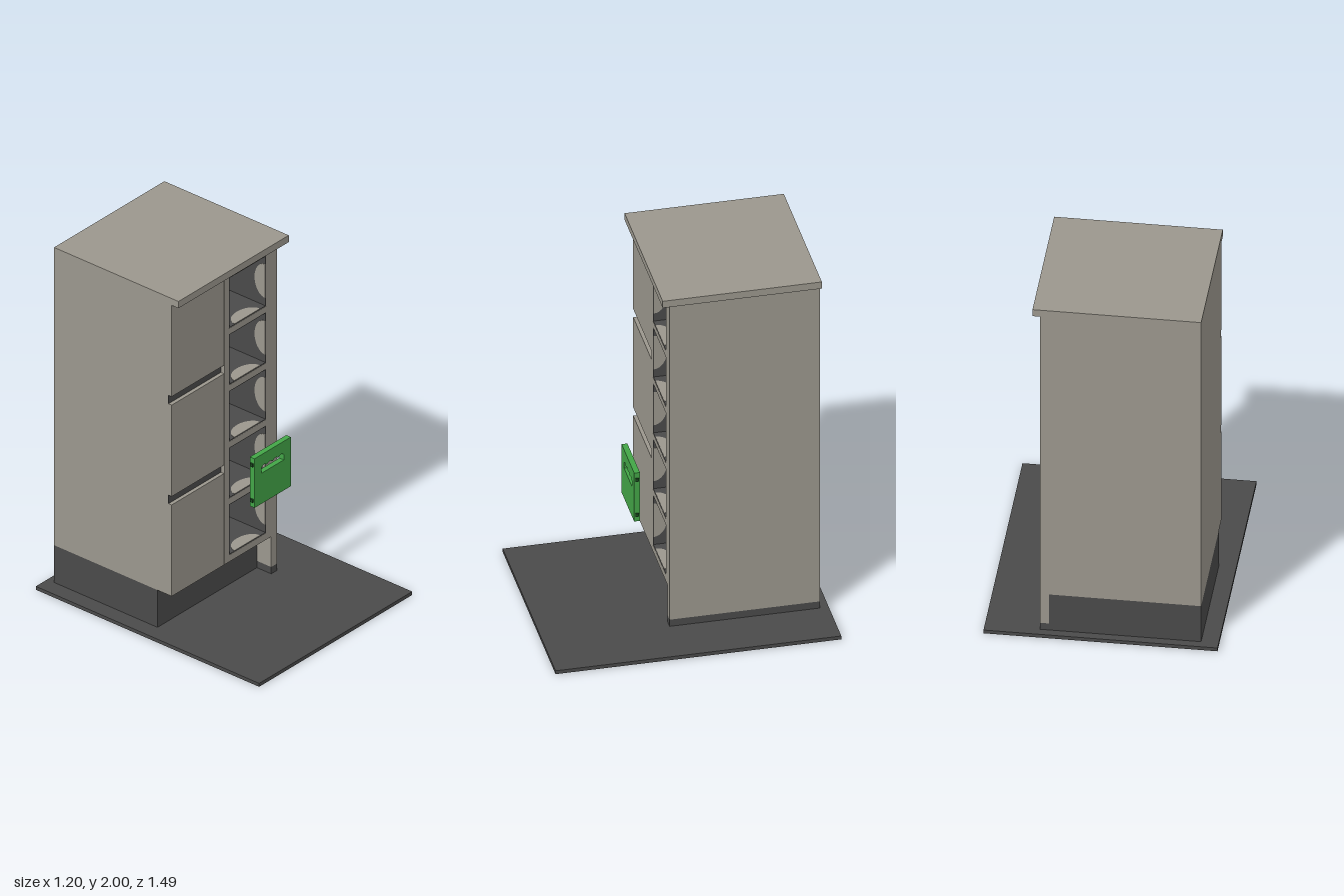
import * as THREE from 'three';

const greige = new THREE.MeshStandardMaterial({ color: 0x9b978d });
const charcoal = new THREE.MeshStandardMaterial({ color: 0x4a4a4a });
const green = new THREE.MeshStandardMaterial({ color: 0x43a547 });
const darkGreen = new THREE.MeshStandardMaterial({ color: 0x1b4a20 });
greige.name = 'greige';
charcoal.name = 'charcoal';
green.name = 'green';
darkGreen.name = 'darkGreen';

// Box given by its minimum and maximum on each axis
function box(name, material, x0, x1, y0, y1, z0, z1) {
  const mesh = new THREE.Mesh(new THREE.BoxGeometry(x1 - x0, y1 - y0, z1 - z0), material);
  mesh.position.set((x0 + x1) / 2, (y0 + y1) / 2, (z0 + z1) / 2);
  mesh.name = name;
  return mesh;
}

function rect(path, x0, x1, y0, y1) {
  path.moveTo(x0, y0);
  path.lineTo(x1, y0);
  path.lineTo(x1, y1);
  path.lineTo(x0, y1);
  path.closePath();
  return path;
}

function extrude(name, material, shape, z0, z1) {
  const geometry = new THREE.ExtrudeGeometry(shape, { depth: z1 - z0, bevelEnabled: false, curveSegments: 8 });
  geometry.translate(0, 0, z0);
  const mesh = new THREE.Mesh(geometry, material);
  mesh.name = name;
  return mesh;
}

// Opening of the shelf compartments
const X0 = -0.06, X1 = 0.23, SIZE = 0.3;
const BOTTOMS = [0.28, 0.615, 0.95, 1.285, 1.62];
const FRONT = 0.085, BACK = -0.7;

// Dark liner of one compartment with a half-round patch on each wall
function compartment(y0) {
  const group = new THREE.Group();
  group.name = 'compartment';
  const y1 = y0 + SIZE, t = 0.004;
  const ring = rect(new THREE.Shape(), X0, X1, y0, y1);
  ring.holes.push(rect(new THREE.Path(), X0 + t, X1 - t, y0 + t, y1 - t));
  group.add(extrude('liner', charcoal, ring, -0.64, FRONT - 0.001));
  group.add(box('linerBack', charcoal, X0, X1, y0, y1, -0.65, -0.64));

  const half = new THREE.Shape();
  half.absellipse(0, 0, 0.1, 0.07, 0, Math.PI, false);
  half.closePath();
  for (let i = 0; i < 4; i++) {
    const patch = extrude('wallPatch', greige, half, 0, 0.002);
    patch.geometry.rotateX(-Math.PI / 2);
    const across = i % 2 ? (X1 - X0) / 2 : SIZE / 2;
    patch.geometry.translate(0, t - across, 0);
    patch.rotation.z = i * Math.PI / 2;
    patch.position.set((X0 + X1) / 2, (y0 + y1) / 2, FRONT - 0.002);
    group.add(patch);
  }
  return group;
}

// Removable front panel with scalloped grip hole and side pins
function frontPanel() {
  const group = new THREE.Group();
  group.name = 'frontPanel';
  const shape = rect(new THREE.Shape(), -0.055, 0.23, 0.62, 0.91);
  const grip = new THREE.Path();
  grip.moveTo(0, 0.8);
  grip.lineTo(0.175, 0.8);
  grip.lineTo(0.175, 0.832);
  const bump = 0.175 / 4;
  for (let i = 3; i >= 0; i--) {
    grip.quadraticCurveTo((i + 0.5) * bump, 0.855, i * bump, 0.832);
  }
  grip.closePath();
  shape.holes.push(grip);
  group.add(extrude('panel', green, shape, 0.22, 0.25));
  for (const y of [0.66, 0.87]) {
    for (const x of [-0.058, 0.233]) {
      group.add(box('pin', darkGreen, x - 0.005, x + 0.005, y - 0.009, y + 0.009, 0.226, 0.244));
    }
  }
  return group;
}

export function createModel() {
  const model = new THREE.Group();
  model.name = 'cabinet';

  // Floor plate, plinth and worktop
  model.add(box('floorPlate', charcoal, -0.6, 0.6, 0, 0.02, -0.745, 0.745));
  model.add(box('plinth', charcoal, -0.51, 0.27, 0.02, 0.24, BACK, -0.01));
  model.add(box('worktop', greige, -0.51, 0.355, 1.96, 2, BACK, 0.13));

  // Side panel reaching down to a dark foot strip
  model.add(box('sidePanel', greige, 0.27, 0.315, 0.06, 1.96, BACK, FRONT));
  model.add(box('footStrip', charcoal, 0.27, 0.315, 0.02, 0.06, BACK, FRONT));

  // Drawer unit
  model.add(box('drawerCarcass', greige, -0.51, -0.095, 0.24, 1.96, BACK, 0.06));
  for (const [y0, y1] of [[0.24, 0.78], [0.83, 1.37], [1.42, 1.96]]) {
    model.add(box('drawerFront', greige, -0.51, -0.1, y0, y1, 0.06, FRONT));
  }
  for (const y of [0.78, 1.37]) {
    model.add(box('gripChannel', charcoal, -0.51, -0.1, y, y + 0.05, 0.059, 0.064));
  }

  // Shelf unit with five square compartments
  const frame = rect(new THREE.Shape(), -0.095, 0.27, 0.24, 1.96);
  for (const y of BOTTOMS) {
    frame.holes.push(rect(new THREE.Path(), X0, X1, y, y + SIZE));
    model.add(compartment(y));
  }
  model.add(extrude('shelfFrame', greige, frame, -0.65, FRONT));
  model.add(box('shelfBack', greige, -0.095, 0.27, 0.24, 1.96, BACK, -0.65));

  model.add(frontPanel());
  return model;
}
